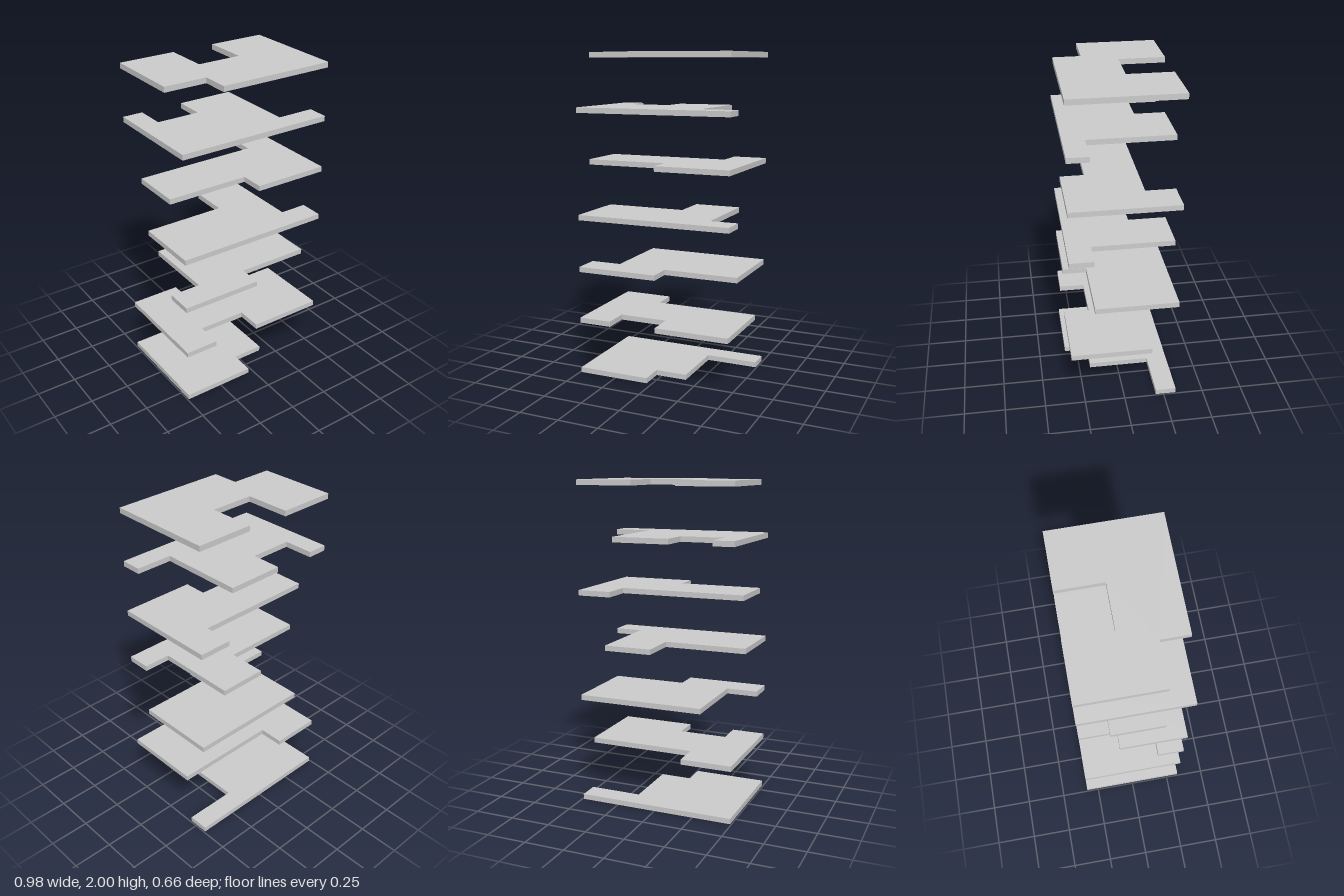
import * as THREE from 'three';

// Slab half sizes, thickness and vertical spacing
const W = 0.492, D = 0.328, T = 0.033, STEP = (2 - T) / 6;

// Plan outlines as [x, z], lowest slab first
const outlines = [
  [[-W, -D], [W, -D], [W, -0.2], [0.165, -0.2], [0.165, 0.18], [-0.033, 0.18], [-0.033, D], [-W, D]],
  [[-W, -D], [-0.175, -D], [-0.175, -0.17], [W, -0.17], [W, D], [0.022, D], [0.022, 0.167], [-0.283, 0.167], [-0.283, D], [-W, D]],
  [[-0.297, -D], [W, -D], [W, 0.18], [0.022, 0.18], [0.022, D], [-W, D], [-W, 0.16], [-0.297, 0.16]],
  [[0.022, -D], [0.32, -D], [0.32, 0.18], [W, 0.18], [W, D], [-W, D], [-W, -0.09], [0.022, -0.09]],
  [[0.283, -D], [W, -D], [W, D], [0.022, D], [0.022, 0.18], [-W, 0.18], [-W, -0.145], [0.283, -0.145]],
  [[-W, -D], [-0.365, -D], [-0.365, -0.14], [-0.095, -0.14], [-0.095, -D], [0.26, -D], [0.26, 0.197], [W, 0.197], [W, D], [-W, D]],
  [[-W, -D], [-0.137, -D], [-0.137, -0.05], [0.137, -0.05], [0.137, -D], [W, -D], [W, D], [-0.227, D], [-0.227, 0.16], [-W, 0.16]],
];

export function createModel() {
  const group = new THREE.Group();
  group.name = 'floorPlates';
  const material = new THREE.MeshStandardMaterial({ color: 0xcccccc });

  // Each floor plate is a notched outline extruded upwards
  outlines.forEach((points, i) => {
    const shape = new THREE.Shape(points.map(([x, z]) => new THREE.Vector2(x, -z)));
    const geometry = new THREE.ExtrudeGeometry(shape, { depth: T, bevelEnabled: false });
    geometry.rotateX(-Math.PI / 2);
    const plate = new THREE.Mesh(geometry, material);
    plate.name = `floorPlate${i + 1}`;
    plate.position.y = i * STEP;
    group.add(plate);
  });
  return group;
}
